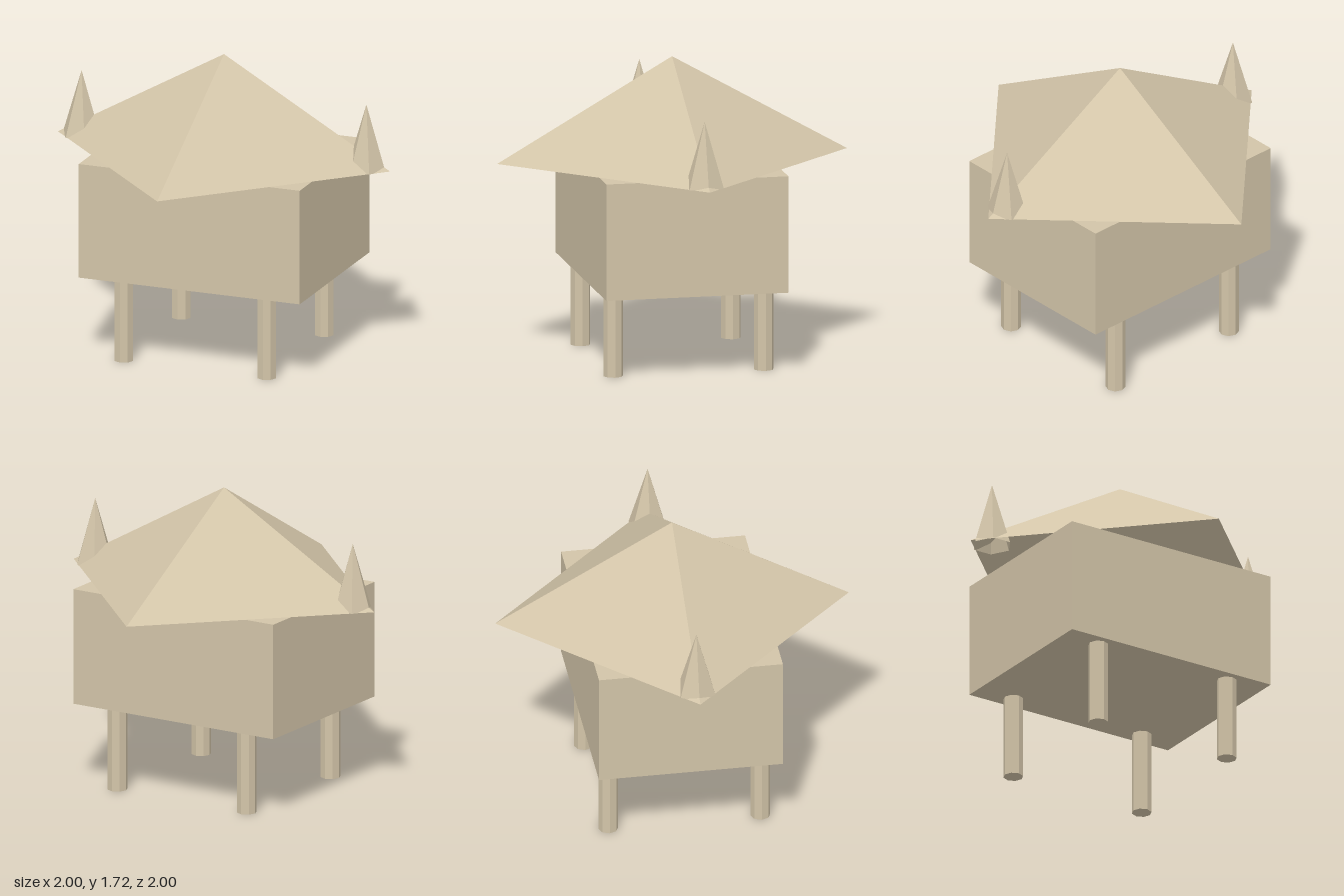
import * as THREE from 'three';

export function createModel() {
  const group = new THREE.Group();
  const solid = new THREE.MeshStandardMaterial({ color: 0xd2c4a8, flatShading: true });
  const shell = solid.clone();
  shell.side = THREE.DoubleSide;

  const add = (name, geometry, material, x, y, z) => {
    const mesh = new THREE.Mesh(geometry, material);
    mesh.name = name;
    mesh.position.set(x, y, z);
    group.add(mesh);
  };

  const floorY = 0.48, eavesY = 1.145;

  // Boxy body
  const bodyHeight = eavesY - floorY;
  add('body', new THREE.BoxGeometry(1.33, bodyHeight, 1.04), solid, 0, floorY + bodyHeight / 2, 0);

  // Four-sided roof, open underneath, corners on the x and z axes
  const roofHeight = 0.57;
  add('roof', new THREE.ConeGeometry(1, roofHeight, 4, 1, true), shell, 0, eavesY + roofHeight / 2, 0);

  // Six-sided spikes piercing the left and right roof corners, open underneath
  const spikeHeight = 0.375;
  const spike = new THREE.ConeGeometry(0.113, spikeHeight, 6, 1, true).rotateY(Math.PI / 2);
  for (const side of [1, -1]) {
    add(side > 0 ? 'leftSpike' : 'rightSpike', spike, shell, side * 0.857, eavesY + spikeHeight / 2, 0);
  }

  // Four octagonal legs
  const leg = new THREE.CylinderGeometry(0.056, 0.056, floorY, 8);
  for (const x of [1, -1]) {
    for (const z of [1, -1]) {
      add((z > 0 ? 'front' : 'back') + (x > 0 ? 'Left' : 'Right') + 'Leg', leg, solid, x * 0.43, floorY / 2, z * 0.43);
    }
  }

  return group;
}
